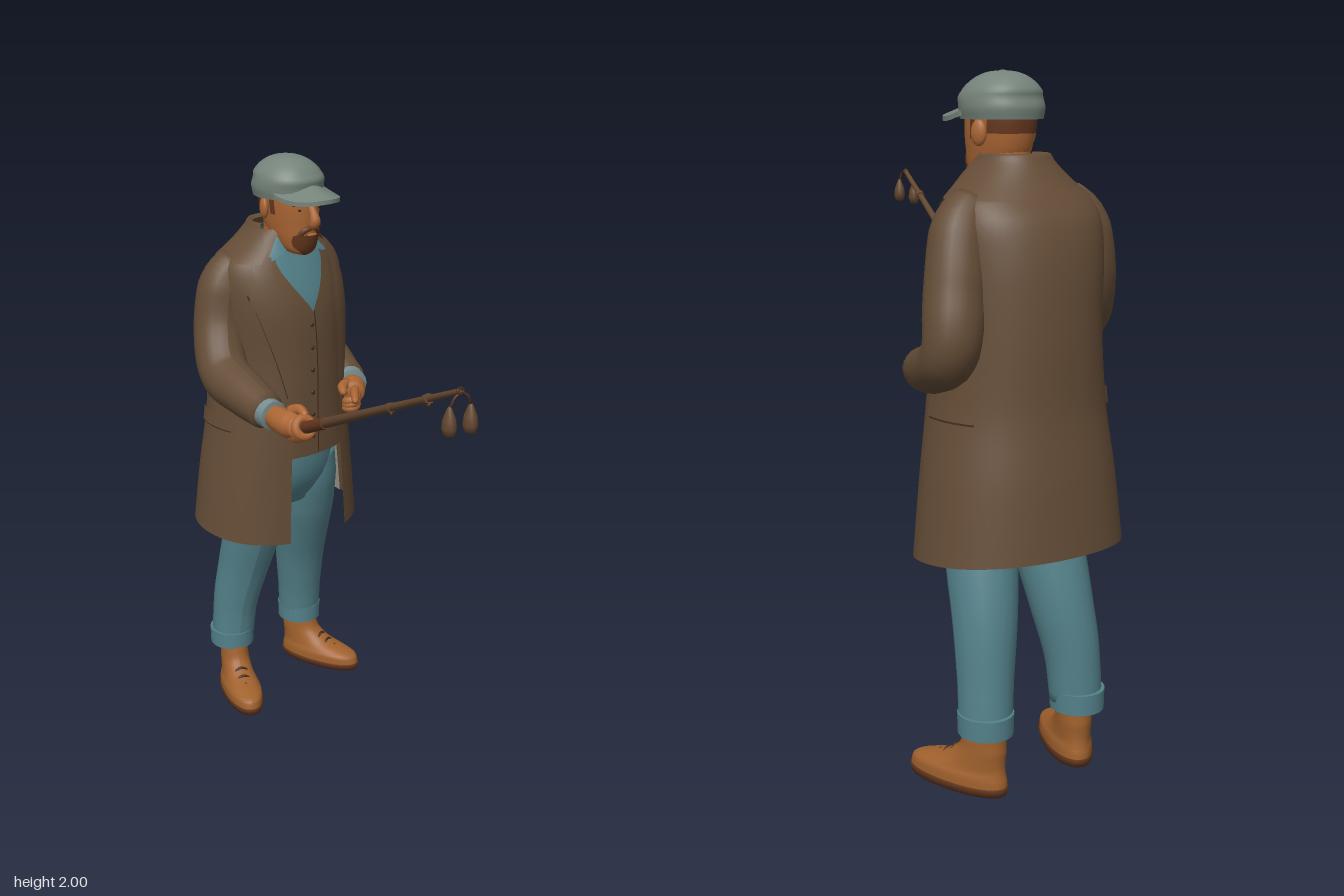
import * as THREE from 'three';

const colour = (name, color) => {
  const m = new THREE.MeshStandardMaterial({ color, side: THREE.DoubleSide });
  m.name = name;
  return m;
};
const deg = Math.PI / 180, lerp = THREE.MathUtils.lerp;
const ramp = (y, a, b) => THREE.MathUtils.clamp((y - a) / (b - a), 0, 1);
const V = (p) => new THREE.Vector3(...p);

export function createModel() {
  const coat = colour('coat brown', 0x654d37), lining = colour('coat lining', 0x98998c);
  const denim = colour('denim blue', 0x54818a), cuffMat = colour('cuff grey blue', 0x768d8f);
  const skin = colour('skin', 0xab6634), felt = colour('cap grey green', 0x75837a);
  const leather = colour('shoe leather', 0xa0612d), dark = colour('dark brown', 0x432a1a);
  const wood = colour('rod brown', 0x63462f), redBrown = colour('red brown', 0x66381e);

  const model = new THREE.Group();
  model.name = 'standingAngler';
  const group = (name, parent = model) => {
    const g = new THREE.Group();
    g.name = name;
    parent.add(g);
    return g;
  };
  const add = (parent, name, geo, mat, pos = [0, 0, 0], scale = [1, 1, 1], rot = [0, 0, 0]) => {
    const m = new THREE.Mesh(geo, mat);
    m.name = name;
    m.position.set(...pos);
    m.scale.set(...scale);
    m.rotation.set(...rot);
    parent.add(m);
    return m;
  };

  // Cross-sections are [y, half width, half depth, z, x]
  const smooth = (S, n) => {
    const a = new THREE.CatmullRomCurve3(S.map(s => V([s[0], s[1], s[2]])));
    const b = new THREE.CatmullRomCurve3(S.map(s => V([s[3], s[4] || 0, 0])));
    return Array.from({ length: n + 1 }, (_, i) => {
      const p = a.getPoint(i / n), q = b.getPoint(i / n);
      return [p.x, p.y, p.z, q.x, q.y];
    });
  };
  const at = (S, y) => {
    let i = 0;
    while (i < S.length - 2 && S[i + 1][0] < y) i++;
    const t = ramp(y, S[i][0], S[i + 1][0]);
    return S[i].map((v, k) => lerp(v, S[i + 1][k], t));
  };
  const slice = (S, y0, y1, off, n = 16) => Array.from({ length: n + 1 }, (_, i) => {
    const s = at(S, lerp(y0, y1, i / n));
    return [s[0], s[1] + off, s[2] + off, s[3], s[4]];
  });
  // Surface through the sections between two angles (degrees, 0 = front, 90 = left); lift raises the back hem
  const wrap = (parent, name, mat, rows, from = () => 0, to = () => 360, cols = 40, lift = 0) => {
    const pos = [], idx = [], n = cols + 1;
    rows.forEach(([y, w, d, z, x], r) => {
      for (let c = 0; c <= cols; c++) {
        const t = lerp(from(y), to(y), c / cols) * deg, s = Math.sin(t), k = Math.cos(t);
        pos.push(x + w * Math.sign(s) * Math.abs(s) ** 0.92, y - lift * k * ramp(y, 1.05, 0.675), z + d * Math.sign(k) * Math.abs(k) ** 0.92);
        if (r && c) {
          const a = (r - 1) * n + c - 1;
          idx.push(a, a + 1, a + n + 1, a, a + n + 1, a + n);
        }
      }
    });
    const g = new THREE.BufferGeometry();
    g.setAttribute('position', new THREE.Float32BufferAttribute(pos, 3));
    g.setIndex(idx);
    g.computeVertexNormals();
    return add(parent, name, g, mat);
  };
  // Tapered tube along a curve, closed at both ends
  const limb = (parent, name, mat, pts, radii, sides = 16, seg = 28) => {
    const curve = new THREE.CatmullRomCurve3(pts.map(V));
    const g = new THREE.TubeGeometry(curve, seg, 1, sides), p = g.attributes.position, v = new THREE.Vector3();
    for (let i = 0; i <= seg; i++) {
      const c = curve.getPointAt(i / seg), f = i / seg * (radii.length - 1), k = Math.min(Math.floor(f), radii.length - 2);
      const r = i === 0 || i === seg ? 0.001 : lerp(radii[k], radii[k + 1], f - k);
      for (let j = 0; j <= sides; j++) {
        const q = i * (sides + 1) + j;
        v.fromBufferAttribute(p, q).sub(c).multiplyScalar(r).add(c);
        p.setXYZ(q, v.x, v.y, v.z);
      }
    }
    g.computeVertexNormals();
    return add(parent, name, g, mat);
  };
  const ball = new THREE.SphereGeometry(1, 24, 16);

  // Body, turned a little towards its left
  const body = group('body');
  body.position.z = -0.66;
  body.rotation.y = 22 * deg;
  const C = smooth([[0.68, 0.311, 0.25, -0.02, 0.006], [0.9, 0.285, 0.238, -0.01, 0.003], [1.1, 0.255, 0.227, 0.003, 0],
    [1.3, 0.238, 0.224, 0.005, 0], [1.5, 0.242, 0.212, 0.01, -0.01], [1.6, 0.238, 0.184, 0.01, -0.015],
    [1.66, 0.215, 0.15, 0.02, -0.015], [1.705, 0.152, 0.12, 0.035, -0.015], [1.76, 0.098, 0.1, 0.05, -0.015]], 48);
  const open = y => 23 + 18 * ramp(y, 1.52, 1.72);
  wrap(body, 'coat', coat, C, open, y => 360 - open(y), 56, 0.025);
  wrap(body, 'coatLining', lining, slice(C, 0.682, 1.2, -0.008), () => 85, () => 275, 40, 0.025);
  const neckline = y => 36 * ramp(y, 1.49, 1.71);
  wrap(body, 'vest', coat, slice(C, 0.97, 1.7, -0.012, 30), neckline, y => 360 - neckline(y));
  wrap(body, 'vestFrontEdge', dark, slice(C, 0.98, 1.49, -0.01), () => 0, () => 0.8, 2);
  wrap(body, 'shirt', denim, slice(C, 1.4, 1.75, -0.022));
  wrap(body, 'shirtPlacket', denim, slice(C, 1.45, 1.7, -0.015), () => -4, () => 4, 4);
  const lapelWidth = y => 1 + 30 * ramp(y, 1.14, 1.54) - 14 * ramp(y, 1.56, 1.6);
  for (const s of [1, -1]) {
    const side = s > 0 ? 'left' : 'right';
    const band = (name, mat, y0, y1, off, a, b) => s > 0
      ? wrap(body, side + name, mat, slice(C, y0, y1, off), a, b, 8)
      : wrap(body, side + name, mat, slice(C, y0, y1, off), y => -b(y), y => -a(y), 8);
    band('Lapel', coat, 1.12, 1.68, 0.01, y => open(y) - 2, y => open(y) + lapelWidth(y));
    band('LapelEdge', dark, 1.2, 1.56, 0.006, y => open(y) + lapelWidth(y) - 1, y => open(y) + lapelWidth(y) + 0.8);
    band('PocketFlap', coat, 1.075, 1.125, 0.01, () => 78, () => 118);
    band('PocketSeam', dark, 1.069, 1.075, 0.007, () => 78, () => 118);
    band('ShirtCollar', denim, 1.665, 1.765, -0.006, y => 6 + 28 * ramp(y, 1.72, 1.66), () => 60);
  }
  wrap(body, 'chestPocket', coat, slice(C, 1.47, 1.495, 0.01, 2), () => 58, () => 74, 6);
  wrap(body, 'chestPocketSeam', dark, slice(C, 1.495, 1.5, 0.006, 2), () => 58, () => 74, 6);
  const collarRows = [[1.66, 0.217, 0.164, 0.022, -0.015], [1.71, 0.158, 0.137, 0.035, -0.015],
    [1.755, 0.112, 0.118, 0.045, -0.015], [1.778, 0.098, 0.108, 0.05, -0.015], [1.768, 0.088, 0.096, 0.055, -0.015]];
  wrap(body, 'coatCollar', coat, smooth(collarRows, 14), y => 46 + 34 * ramp(y, 1.7, 1.77), y => 314 - 34 * ramp(y, 1.7, 1.77));
  for (let i = 0; i < 6; i++) {
    const y = 1.04 + i * 0.08, s = at(C, y);
    add(body, 'vestButton', ball, dark, [-0.018, y, s[3] + s[2] - 0.012], [0.008, 0.008, 0.005]);
  }
  wrap(body, 'trouserSeat', denim, smooth([[0.73, 0.06, 0.04, 0.02], [0.78, 0.14, 0.11, 0.02], [0.88, 0.19, 0.17, 0.015], [1.05, 0.2, 0.185, 0.02]], 14));

  // Head
  const head = group('head', body);
  head.position.x = -0.02;
  add(head, 'neck', new THREE.CylinderGeometry(0.064, 0.07, 0.16, 20), skin, [0, 1.74, 0.075]);
  const H = smooth([[1.676, 0.012, 0.015, 0.168], [1.69, 0.045, 0.045, 0.155], [1.73, 0.066, 0.083, 0.13], [1.78, 0.077, 0.104, 0.114],
    [1.85, 0.085, 0.112, 0.108], [1.92, 0.085, 0.11, 0.104]], 28);
  wrap(head, 'face', skin, H);
  const jaw = y => 25 + 30 * ramp(y, 1.68, 1.71) - 12 * ramp(y, 1.73, 1.76);
  wrap(head, 'beard', redBrown, slice(H, 1.677, 1.75, 0.005), y => -jaw(y), jaw, 20);
  add(head, 'lowerLip', ball, skin, [0, 1.75, 0.221], [0.02, 0.005, 0.008]);
  wrap(head, 'backHair', redBrown, slice(H, 1.83, 1.885, 0.003), () => 112, () => 248, 20);
  for (const s of [1, -1]) {
    limb(head, 'moustache', redBrown, [[0, 1.772, 0.222], [s * 0.025, 1.767, 0.214], [s * 0.045, 1.738, 0.19]], [0.008, 0.011, 0.009], 8, 10);
    limb(head, 'eyebrow', dark, [[s * 0.012, 1.848, 0.218], [s * 0.035, 1.856, 0.209], [s * 0.06, 1.846, 0.186]], [0.006, 0.007, 0.005], 8, 10);
    add(head, 'eye', ball, dark, [s * 0.034, 1.834, 0.205], [0.014, 0.007, 0.006]);
    add(head, 'ear', ball, skin, [s * 0.091, 1.832, 0.085], [0.014, 0.036, 0.024], [0, s * 0.4, 0]);
    wrap(head, 'sideburn', redBrown, slice(H, 1.815, 1.88, 0.003), () => s > 0 ? 80 : -90, () => s > 0 ? 90 : -80, 4);
  }
  limb(head, 'nose', skin, [[0, 1.85, 0.21], [0, 1.82, 0.228], [0, 1.79, 0.235], [0, 1.78, 0.213]], [0.011, 0.014, 0.019, 0.014], 12, 14);

  // Cap with a curved, drooping brim
  const cap = group('cap', head);
  wrap(cap, 'crown', felt, smooth([[1.868, 0.108, 0.118, 0.1], [1.9, 0.114, 0.122, 0.1], [1.94, 0.108, 0.116, 0.1], [1.972, 0.082, 0.09, 0.098],
    [1.993, 0.045, 0.05, 0.097], [2, 0.001, 0.001, 0.096]], 24));
  add(cap, 'button', ball, felt, [0, 1.997, 0.097], [0.01, 0.004, 0.01]);
  const brim = new THREE.CylinderGeometry(1, 1, 0.014, 36, 1), bp = brim.attributes.position;
  for (let i = 0; i < bp.count; i++) {
    const x = bp.getX(i), z = bp.getZ(i);
    bp.setXYZ(i, x * 0.108, bp.getY(i) + 1.927 - 0.045 * x * x - 0.052 * Math.max(z, 0), 0.155 + z * (z > 0 ? 0.165 : 0.04));
  }
  brim.computeVertexNormals();
  add(cap, 'brim', brim, felt);

  // Legs, turn-ups and shoes: the right foot stands ahead of the left
  const shoeRows = [[0.024, 0.066, 0.166, 0], [0.05, 0.065, 0.16, -0.002], [0.068, 0.058, 0.137, -0.022], [0.09, 0.053, 0.1, -0.058],
    [0.13, 0.05, 0.073, -0.088], [0.19, 0.048, 0.064, -0.096]];
  const leg = (side, path, cuff, foot, turn) => {
    const g = group(side + 'Leg');
    limb(g, side + 'TrouserLeg', denim, path, [0.09, 0.105, 0.108, 0.1, 0.09, 0.08, 0.076], 20, 34);
    add(g, side + 'TurnUp', new THREE.CylinderGeometry(0.08, 0.079, 0.06, 24), denim, cuff, [1, 1, 1.08]);
    const shoe = group(side + 'Shoe', g);
    shoe.position.set(...foot);
    shoe.rotation.y = turn * deg;
    wrap(shoe, 'upper', leather, smooth(shoeRows, 20));
    wrap(shoe, 'sole', redBrown, [[0, 0.001, 0.001, 0, 0], [0, 0.064, 0.164, 0, 0], [0.022, 0.07, 0.17, 0, 0], [0.028, 0.062, 0.16, 0, 0]]);
    for (let i = 0; i < 3; i++) {
      const y = 0.074 + i * 0.018, z = 0.066 - i * 0.03;
      limb(shoe, 'lace', dark, [[-0.028, y - 0.012, z], [0, y + 0.004, z], [0.028, y - 0.012, z]], [0.005, 0.005], 6, 8);
    }
  };
  leg('right', [[-0.08, 0.98, -0.56], [-0.095, 0.84, -0.575], [-0.107, 0.7, -0.6], [-0.14, 0.5, -0.65], [-0.168, 0.35, -0.672], [-0.183, 0.18, -0.68]],
    [-0.185, 0.205, -0.68], [-0.19, 0, -0.565], -3);
  leg('left', [[0.1, 0.98, -0.6], [0.105, 0.84, -0.63], [0.108, 0.7, -0.675], [0.113, 0.5, -0.74], [0.118, 0.35, -0.768], [0.123, 0.18, -0.79]],
    [0.123, 0.205, -0.79], [0.183, 0, -0.718], 37);

  // Arms
  const rightArm = group('rightArm'), leftArm = group('leftArm');
  limb(rightArm, 'rightSleeve', coat, [[-0.14, 1.655, -0.59], [-0.197, 1.595, -0.59], [-0.23, 1.43, -0.57], [-0.242, 1.3, -0.48], [-0.213, 1.262, -0.35], [-0.175, 1.232, -0.21]],
    [0.062, 0.083, 0.086, 0.086, 0.084, 0.074, 0.06], 20, 36);
  limb(rightArm, 'rightShirtCuff', cuffMat, [[-0.185, 1.237, -0.24], [-0.172, 1.232, -0.205], [-0.166, 1.23, -0.188]], [0.05, 0.05], 16, 10);
  limb(rightArm, 'rightPalm', skin, [[-0.17, 1.23, -0.21], [-0.155, 1.226, -0.15], [-0.135, 1.224, -0.1], [-0.125, 1.228, -0.06]], [0.036, 0.042, 0.046, 0.034], 16, 16);
  limb(leftArm, 'leftSleeve', coat, [[0.13, 1.655, -0.7], [0.18, 1.595, -0.73], [0.21, 1.43, -0.78], [0.23, 1.265, -0.81], [0.245, 1.205, -0.7], [0.25, 1.18, -0.57]],
    [0.062, 0.08, 0.084, 0.084, 0.077, 0.07, 0.06], 20, 36);
  limb(leftArm, 'leftShirtCuff', cuffMat, [[0.25, 1.182, -0.6], [0.248, 1.178, -0.56], [0.247, 1.177, -0.54]], [0.056, 0.054], 16, 10);
  limb(leftArm, 'leftPalm', skin, [[0.247, 1.178, -0.56], [0.236, 1.178, -0.51], [0.218, 1.176, -0.455]], [0.034, 0.044, 0.036], 16, 14);
  limb(leftArm, 'leftIndexFinger', skin, [[0.222, 1.19, -0.46], [0.206, 1.185, -0.42], [0.192, 1.17, -0.375]], [0.017, 0.015, 0.011], 10, 12);
  limb(leftArm, 'leftThumb', skin, [[0.212, 1.2, -0.5], [0.178, 1.2, -0.465], [0.172, 1.185, -0.43]], [0.02, 0.018, 0.012], 10, 12);
  for (let i = 0; i < 3; i++)
    limb(leftArm, 'leftCurledFinger', skin, [[0.23, 1.172 - i * 0.016, -0.46], [0.206, 1.165 - i * 0.016, -0.425], [0.183, 1.155 - i * 0.013, -0.44], [0.195, 1.15 - i * 0.012, -0.47]], [0.017, 0.015, 0.013], 10, 12);

  // Fishing rod along its own z axis, held by the right hand
  const rod = group('fishingRod'), butt = V([-0.118, 1.2, -0.12]), tip = V([-0.035, 1.645, 0.9]);
  const length = butt.distanceTo(tip), along = [Math.PI / 2, 0, 0];
  rod.position.copy(butt);
  rod.lookAt(tip);
  add(rod, 'pole', new THREE.CylinderGeometry(0.008, 0.019, length, 14), wood, [0, 0, length / 2], [1, 1, 1], along);
  add(rod, 'grip', new THREE.CylinderGeometry(0.019, 0.021, 0.27, 16), redBrown, [0, 0, 0.105], [1, 1, 1], along);
  for (const z of [0.7, 0.93]) {
    add(rod, 'ferrule', new THREE.CylinderGeometry(0.0145, 0.0145, 0.02, 12), wood, [0, 0, z], [1, 1, 1], along);
    add(rod, 'lineGuide', ball, dark, [0, -0.016, z], [0.006, 0.009, 0.007]);
  }
  add(rod, 'tipRing', new THREE.TorusGeometry(0.008, 0.004, 8, 16), dark, [0, 0, length]);
  for (let i = 0; i < 4; i++)
    add(rod, 'rightFinger', new THREE.TorusGeometry(0.029, 0.0155, 10, 20), skin, [-0.004, 0.002, 0.008 + i * 0.023]);
  limb(rightArm, 'rightThumb', skin, [[-0.135, 1.255, -0.14], [-0.112, 1.275, -0.1], [-0.105, 1.265, -0.055]], [0.022, 0.018, 0.012], 10, 12);

  // Two weights hanging from the tip
  const weight = [[0.001, 0], [0.02, 0.004], [0.028, 0.025], [0.024, 0.05], [0.012, 0.075], [0.006, 0.085], [0.001, 0.086]].map(p => new THREE.Vector2(...p));
  for (const [x, y, z] of [[-0.065, 1.525, 0.9], [-0.015, 1.535, 0.92]]) {
    add(model, 'weight', new THREE.LatheGeometry(weight, 16), wood, [x, y, z], [0.72, 0.95, 0.85]);
    limb(model, 'line', dark, [[x, y + 0.075, z], [(x - 0.035) / 2, y + 0.105, z], [-0.035, 1.64, 0.9]], [0.004, 0.004], 6, 8);
  }
  return model;
}
